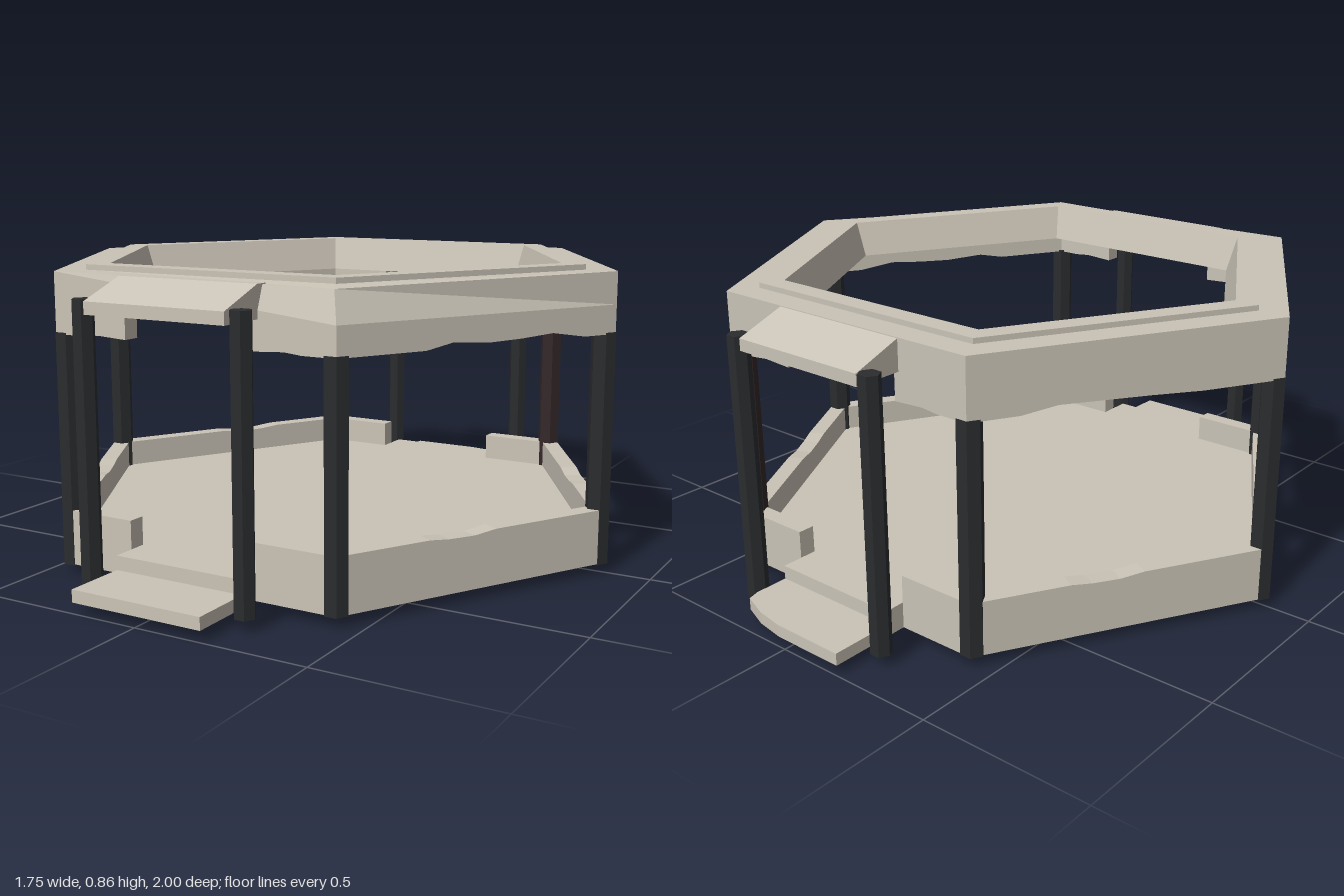
import * as THREE from 'three';

const R = 0.875;                 // hexagon corner radius
const HALF = R / 2;              // half of one hexagon side
const APOTHEM = R * Math.sqrt(3) / 2;
const WALL = 0.05;               // wall thickness
const DOOR = 0.2;                // half width of the doorways

const stone = new THREE.MeshStandardMaterial({ color: 0xcac3b6 });
stone.name = 'stone';
const iron = new THREE.MeshStandardMaterial({ color: 0x2b2c2e });
iron.name = 'dark iron';
const rust = new THREE.MeshStandardMaterial({ color: 0x342729 });
rust.name = 'rusted iron';

function facet(geometry) {
  const g = geometry.index ? geometry.toNonIndexed() : geometry;
  g.computeVertexNormals();
  return g;
}

function add(parent, name, geometry, material) {
  const mesh = new THREE.Mesh(facet(geometry), material);
  mesh.name = name;
  parent.add(mesh);
  return mesh;
}

const outline = (points) => new THREE.Shape(points.map(([x, y]) => new THREE.Vector2(x, y)));

// Upright panel on hexagon side k, mitred where it meets the corners
function wallPanel(parent, name, k, points) {
  const g = new THREE.ExtrudeGeometry(outline(points), { depth: WALL, bevelEnabled: false });
  const p = g.attributes.position;
  const inset = WALL / Math.sqrt(3);
  for (let i = 0; i < p.count; i++) {
    const x = p.getX(i);
    if (p.getZ(i) < WALL / 2 && Math.abs(x) > HALF - 0.01) p.setX(i, x - Math.sign(x) * inset);
  }
  g.translate(0, 0, APOTHEM - WALL);
  add(parent, name, g, stone).rotation.y = k * Math.PI / 3;
}

function post(parent, name, x, z, radius, bottom, top, material) {
  const g = new THREE.CylinderGeometry(radius, radius, top - bottom, 6);
  g.rotateY(Math.PI / 2);
  g.translate(x, (top + bottom) / 2, z);
  return add(parent, name, g, material);
}

// Worn lower edges of the roof skirt, from left to right, by side
const skirtWear = {
  1: [[-0.18, 0.675], [-0.1, 0.69], [0.02, 0.682], [0.12, 0.685], [0.22, 0.692], [0.33, 0.675]],
  2: [[-0.34, 0.675], [-0.25, 0.69], [-0.14, 0.678], [0.12, 0.68], [0.22, 0.695], [0.34, 0.688]],
  4: [[-0.3, 0.675], [-0.2, 0.69], [0.05, 0.682], [0.2, 0.675]],
  5: [[-0.4, 0.685], [-0.3, 0.682], [-0.2, 0.69], [0.05, 0.683], [0.15, 0.675]],
};

export function createModel() {
  const model = new THREE.Group();
  model.name = 'hexagonalPavilion';

  // Floor slab
  const floor = new THREE.CylinderGeometry(R, R, 0.075, 6);
  floor.rotateY(Math.PI / 2);
  floor.translate(0, 0.0675, 0);
  add(model, 'floor', floor, stone);

  // Low walls and roof skirt, left open at the front and back doorways
  for (let k = 0; k < 6; k++) {
    if (k % 3 === 0) {
      for (const s of [-1, 1]) {
        wallPanel(model, 'lowWall', k,
          [[s * DOOR, 0.105], [s * HALF, 0.105], [s * HALF, 0.185], [s * DOOR, 0.185]]);
        wallPanel(model, 'roofSkirt', k,
          [[s * DOOR, 0.675], [s * 0.29, 0.68], [s * 0.34, 0.675], [s * HALF, 0.675],
            [s * HALF, 0.755], [s * DOOR, 0.755]]);
      }
    } else {
      wallPanel(model, 'lowWall', k,
        [[-HALF, 0.105], [HALF, 0.105], [HALF, 0.185], [0.05, 0.185], [-0.02, 0.177],
          [-0.1, 0.179], [-0.16, 0.185], [-HALF, 0.185]]);
      wallPanel(model, 'roofSkirt', k,
        [[-HALF, 0.675], ...skirtWear[k], [HALF, k === 2 ? 0.69 : 0.675],
          [HALF, 0.755], [-HALF, 0.755]]);
    }
  }

  // Roof ring with a raised lip and a sloping inner edge
  const profile = [[0.68, 0.755], [R, 0.755], [R, 0.845], [0.785, 0.845],
    [0.785, 0.86], [0.715, 0.86], [0.68, 0.755]];
  const ring = new THREE.LatheGeometry(
    profile.map(([r, y]) => new THREE.Vector2(r, y)), 6, Math.PI / 2);
  // Chipped corner at the front left
  const p = ring.attributes.position;
  const corner = new THREE.Vector3(HALF, 0.845, APOTHEM);
  for (let i = 0; i < p.count; i++) {
    const v = new THREE.Vector3().fromBufferAttribute(p, i);
    if (v.distanceTo(corner) < 0.01) p.setXYZ(i, 0.415, 0.838, 0.728);
  }
  add(model, 'roofRing', ring, stone);

  // Corner posts; one has slipped down and rusted
  for (let k = 0; k < 6; k++) {
    const a = k * Math.PI / 3;
    const x = 0.842 * Math.cos(a), z = 0.842 * Math.sin(a);
    const slipped = k === 5;
    post(model, slipped ? 'rustedPost' : 'cornerPost', x, z, 0.035,
      slipped ? 0 : 0.027, slipped ? 0.71 : 0.68, slipped ? rust : iron);
  }

  // Doorways: steps, canopy and canopy posts
  for (const back of [false, true]) {
    const door = new THREE.Group();
    door.name = back ? 'backDoorway' : 'frontDoorway';
    if (back) door.rotation.y = Math.PI;

    const upper = new THREE.BoxGeometry(DOOR * 2, 0.075, 0.12);
    upper.translate(0, 0.0675, 0.76);
    add(door, 'upperStep', upper, stone);

    // Lower step, broken at one corner on the back
    const edge = back
      ? [[-0.2, 0.92], [-0.19, 0.955], [-0.11, 0.985], [-0.02, 1], [0.2, 1]]
      : [[-0.2, 1], [0.2, 1]];
    const lower = new THREE.ExtrudeGeometry(
      outline([[0.2, 0.75], [-0.2, 0.75], ...edge].map(([x, z]) => [x, -z])),
      { depth: 0.035, bevelEnabled: false });
    lower.rotateX(-Math.PI / 2);
    lower.translate(0, 0.03, 0);
    add(door, 'lowerStep', lower, stone);

    const canopy = new THREE.ExtrudeGeometry(
      outline([[0.72, 0.756], [0.9, 0.756], [0.9, 0.79], [0.757, 0.843], [0.72, 0.843]]),
      { depth: 0.43, bevelEnabled: false });
    canopy.rotateY(-Math.PI / 2);
    canopy.translate(0.215, 0, 0);
    add(door, 'canopy', canopy, stone);

    for (const s of [-1, 1]) {
      post(door, 'canopyPost', s * 0.242, back ? 0.882 : 0.87, 0.03, 0.03, 0.793, iron);
    }
    model.add(door);
  }

  return model;
}
